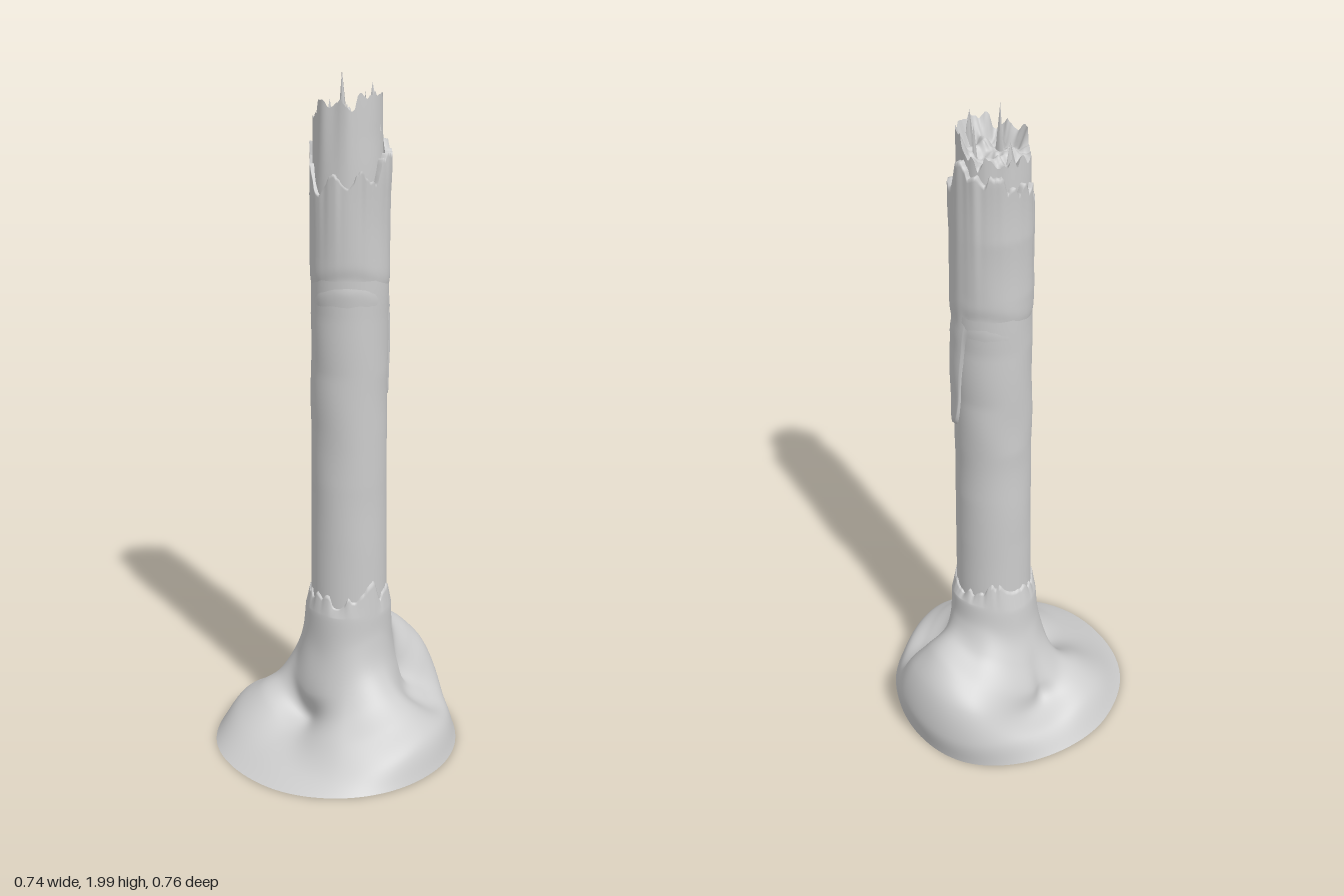
import * as THREE from 'three';

const TAU = Math.PI * 2;
const AXIS_Z = -0.042; // the trunk stands a little behind the middle
const material = new THREE.MeshStandardMaterial({ color: 0xcccccc, side: THREE.DoubleSide });

// Repeatable hash, smooth noise around the trunk and in the plane
const hash = (i, s) => {
  const v = Math.sin(i * 127.1 + s * 311.7) * 43758.5453;
  return v - Math.floor(v);
};
const ease = f => f * f * (3 - 2 * f);
const mix = (a, b, t) => a + (b - a) * t;
const bell = (x, width) => Math.exp(-((x / width) ** 2));
function ringNoise(a, count, seed) {
  const t = (((a / TAU) % 1) + 1) % 1 * count;
  const i = Math.floor(t);
  return mix(hash(i % count, seed), hash((i + 1) % count, seed), ease(t - i)) - 0.5;
}
function planeNoise(x, z, seed) {
  const i = Math.floor(x), j = Math.floor(z), s = ease(x - i);
  const row = k => mix(hash(i + 57 * k, seed), hash(i + 1 + 57 * k, seed), s);
  return mix(row(j), row(j + 1), ease(z - j)) - 0.5;
}
// Ragged, splintery edge height
const jag = (a, seed) => 0.6 * ringNoise(a, 9, seed) + 0.45 * ringNoise(a, 25, seed + 1) + 0.3 * ringNoise(a, 61, seed + 2);
// Soft lumps on the stem
const lumps = (a, y) => 0.006 * ringNoise(a + 0.6 * y, 7, Math.floor(y * 6)) * Math.sin(Math.PI * ((y * 6) % 1));

// Surface of closed rings: point(a, v) gives [radius, y]
function ringSurface(name, around, up, point) {
  const pos = [], index = [];
  for (let j = 0; j <= up; j++) {
    for (let i = 0; i < around; i++) {
      const a = (i / around) * TAU;
      const [r, y] = point(a, j / up);
      pos.push(r * Math.sin(a), y, AXIS_Z + r * Math.cos(a));
    }
  }
  for (let j = 0; j < up; j++) {
    for (let i = 0; i < around; i++) {
      const k = (i + 1) % around, p = j * around, q = p + around;
      index.push(p + i, p + k, q + k, p + i, q + k, q + i);
    }
  }
  const geo = new THREE.BufferGeometry();
  geo.setAttribute('position', new THREE.Float32BufferAttribute(pos, 3));
  geo.setIndex(index);
  geo.computeVertexNormals();
  const mesh = new THREE.Mesh(geo, material);
  mesh.name = name;
  return mesh;
}

// Root profiles [radius, y] every 45 degrees, from the front towards +x
const ROOTS = [
  [[.425, .01], [.33, .05], [.24, .08], [.162, .10], [.165, .18], [.135, .32], [.128, .43]],
  [[.41, .01], [.36, .05], [.29, .11], [.22, .16], [.17, .23], [.137, .33], [.127, .43]],
  [[.367, .01], [.335, .10], [.27, .15], [.20, .20], [.15, .27], [.129, .36], [.125, .43]],
  [[.33, .01], [.30, .08], [.245, .11], [.18, .15], [.15, .23], [.133, .32], [.128, .43]],
  [[.325, .01], [.337, .12], [.30, .23], [.24, .29], [.17, .325], [.142, .38], [.133, .45]],
  [[.355, .01], [.36, .10], [.33, .20], [.27, .26], [.19, .31], [.148, .37], [.133, .45]],
  [[.365, .01], [.32, .07], [.25, .11], [.235, .17], [.19, .25], [.152, .33], [.135, .43]],
  [[.40, .01], [.345, .09], [.275, .145], [.21, .18], [.165, .25], [.14, .34], [.13, .43]],
];
const rootCurves = ROOTS.map(p => new THREE.CatmullRomCurve3(p.map(([r, y]) => new THREE.Vector3(r, y, 0))));
const cubic = (a, b, c, d, t) =>
  b + 0.5 * t * (c - a + t * (2 * a - 5 * b + 4 * c - d + t * (3 * (b - c) + d - a)));

function rootPoint(a, v) {
  const s = (a / TAU) * 8, i = Math.floor(s);
  const p = [-1, 0, 1, 2].map(k => rootCurves[(i + k + 8) % 8].getPoint(v));
  // low clefts either side of the big back root
  const cleft = bell(v - 0.42, 0.2) * (0.045 * bell(a - 2.62, 0.17) + 0.02 * bell(a - 4.9, 0.15));
  const r = cubic(...p.map(q => q.x), s - i) - cleft;
  const y = cubic(...p.map(q => q.y), s - i);
  return [
    r + 0.012 * (1 - v) * ringNoise(a, 13, 51),
    Math.max(0, y + 0.004 * Math.sin(Math.PI * v) * Math.sin(6 * a + 11 * v)),
  ];
}

// Thin splinter leaning from a point on the break
function splinter(x, y, z, width, height, lean, turn) {
  const geo = new THREE.ConeGeometry(width, height, 5);
  geo.translate(0, height / 2, 0);
  geo.scale(1, 1, 0.5);
  const mesh = new THREE.Mesh(geo, material);
  mesh.name = 'splinter';
  mesh.position.set(x, y, z);
  mesh.rotation.set(0, turn, lean);
  return mesh;
}

export function createModel() {
  const group = new THREE.Group();
  group.name = 'brokenTreeTrunk';

  // Hollow flared roots, open below, ending in torn bark
  group.add(ringSurface('rootFlare', 160, 60, (a, v) => {
    if (v <= 0.85) return rootPoint(a, v / 0.85);
    const t = (v - 0.85) / 0.15;
    const [r, y] = rootPoint(a, 1);
    const top = 0.5 + 0.11 * jag(a, 3);
    if (t > 0.99) return [0.108, top];
    return [mix(r, 0.117, t), mix(y, top, t)];
  }));

  // Bare stem, tapering slightly
  group.add(ringSurface('stem', 96, 72, (a, v) => {
    const y = 0.44 + 1.0 * v;
    return [0.114 - 0.004 * Math.min(1, v * 2) + lumps(a, y) * Math.min(1, v * 1.5), y];
  }));

  // Upper bark growing out of the stem, with a loose flap behind and a torn top
  group.add(ringSurface('upperBark', 192, 48, (a, v) => {
    const flap = Math.exp(-(((a - 2.9) / 0.42) ** 4));
    const low = 1.33 - 0.26 * flap + 0.03 * flap * jag(a, 21);
    const high = 1.785 - 0.065 * Math.cos(a - 0.8) + 0.13 * jag(a, 8);
    const y = mix(low, high, v);
    if (v === 0) return [0.104, y];
    if (v === 1) return [0.097, high - 0.012];
    const swell = 0.107 + 0.006 * Math.min(1, v * 5 + flap);
    const groove = 0.005 * bell(y - 1.42 - 0.02 * Math.sin(2 * a), 0.025);
    const flake = 0.007 * v * v * ringNoise(a, 40, 5);
    return [swell + 0.006 * flap * (1 - v) - groove + flake + lumps(a, y), y];
  }));

  // Inner wood with a broken rim around a rough top
  const rim = a => 1.895 + 0.02 * Math.cos(a - 1.2) + 0.09 * jag(a, 14);
  const rimRadius = a => 0.092 + 0.012 * ringNoise(a, 15, 31);
  const core = new THREE.Group();
  core.name = 'brokenCore';
  core.position.set(-0.003, 0, 0.005);
  core.add(ringSurface('innerWood', 144, 18, (a, v) => {
    const y = mix(1.62, rim(a), v);
    return [mix(0.1, rimRadius(a), v) + lumps(a, y) * (1 - v), y];
  }));
  core.add(ringSurface('brokenTop', 144, 20, (a, v) => {
    const r = rimRadius(a) * (1 - v);
    const x = r * Math.sin(a) + 1, z = r * Math.cos(a) + 1;
    const floor = 1.87 + 0.045 * planeNoise(x * 32, z * 32, 7) + 0.02 * planeNoise(x * 75, z * 75, 9);
    return [r, mix(rim(a), floor, Math.min(1, v * 3.5))];
  }));

  // Splinters standing up from the break
  core.add(splinter(0, 1.84, -0.025, 0.02, 0.16, 0.03, 0));
  core.add(splinter(0.07, 1.84, -0.075, 0.022, 0.13, 0.04, 0.6));
  for (let i = 0; i < 3; i++) {
    const a = 0.7 + i * 2.1, r = 0.03 + 0.04 * hash(i, 41);
    core.add(splinter(
      r * Math.sin(a), 1.84, AXIS_Z + r * Math.cos(a),
      0.016 + 0.01 * hash(i, 42), 0.07 + 0.04 * hash(i, 43), 0.3 * (hash(i, 44) - 0.5), a));
  }
  group.add(core);
  return group;
}
